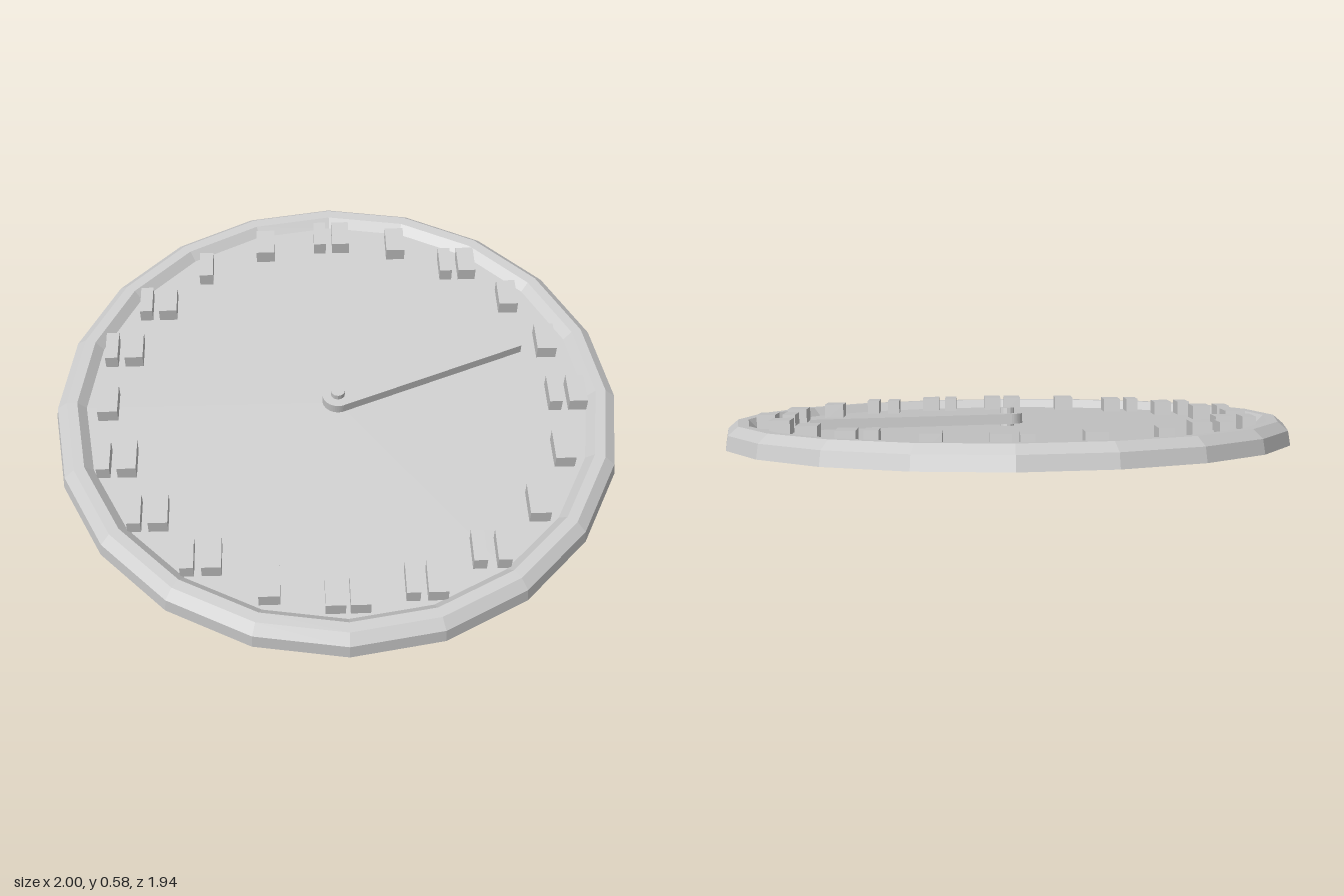
import * as THREE from 'three';

const grey = new THREE.MeshStandardMaterial({ color: 0xcccccc, flatShading: true });

function addPart(parent, name, geometry, x = 0, y = 0, z = 0) {
  const mesh = new THREE.Mesh(geometry, grey);
  mesh.name = name;
  mesh.position.set(x, y, z);
  parent.add(mesh);
  return mesh;
}

export function createModel() {
  const model = new THREE.Group();
  model.name = 'tiltedDial';

  // Everything is built flat, then tipped towards the front
  const dial = new THREE.Group();
  dial.name = 'dial';
  dial.rotation.x = THREE.MathUtils.degToRad(15);
  dial.position.y = Math.sin(dial.rotation.x);
  model.add(dial);

  // Twenty-sided plate with a bevelled raised rim and a sunken face
  const profile = [
    [0, 0], [1, 0], [0.992, 0.05], [0.957, 0.08],
    [0.92, 0.08], [0.89, 0.05], [0, 0.05],
  ].map(([r, y]) => new THREE.Vector2(r, y));
  addPart(dial, 'plateAndRim', new THREE.LatheGeometry(profile, 20));

  // Raised plain markers, single or paired, clockwise from the back
  const markerWidths = [
    [0.045, 0.065], [0.07], [0.045, 0.065], [0.07], [0.07],
    [0.045, 0.065], [0.07], [0.07], [0.045, 0.045], [0.045, 0.065],
    [0.065, 0.065], [0.07], [0.045, 0.065], [0.045, 0.065], [0.045, 0.065],
    [0.07], [0.045, 0.065], [0.045, 0.065], [0.05], [0.07],
  ];
  markerWidths.forEach((widths, i) => {
    const angle = (i / 20) * Math.PI * 2;
    const marker = new THREE.Group();
    marker.name = 'hourMarker' + (i + 1);
    marker.position.set(Math.sin(angle) * 0.81, 0.07, -Math.cos(angle) * 0.81);
    widths.forEach((w, k) => {
      const x = (k - (widths.length - 1) / 2) * 0.08;
      addPart(marker, 'markerBlock', new THREE.BoxGeometry(w, 0.06, 0.12), x);
    });
    dial.add(marker);
  });

  // Tapered hand with a round hub end, pointing at the fifth marker
  const outline = new THREE.Shape();
  outline.absarc(0, 0, 0.055, Math.PI / 2, Math.PI * 1.5, false);
  outline.lineTo(0.71, -0.01);
  outline.lineTo(0.71, 0.01);
  outline.closePath();
  const handGeometry = new THREE.ExtrudeGeometry(outline, {
    depth: 0.035, bevelEnabled: false, curveSegments: 12,
  });
  handGeometry.rotateX(-Math.PI / 2);
  const hand = addPart(dial, 'hand', handGeometry, 0, 0.06, 0);
  hand.rotation.y = THREE.MathUtils.degToRad(18);

  // Pivot pin through the hub
  addPart(dial, 'pivotPin', new THREE.CylinderGeometry(0.025, 0.025, 0.07, 12), 0, 0.08, 0);

  return model;
}
